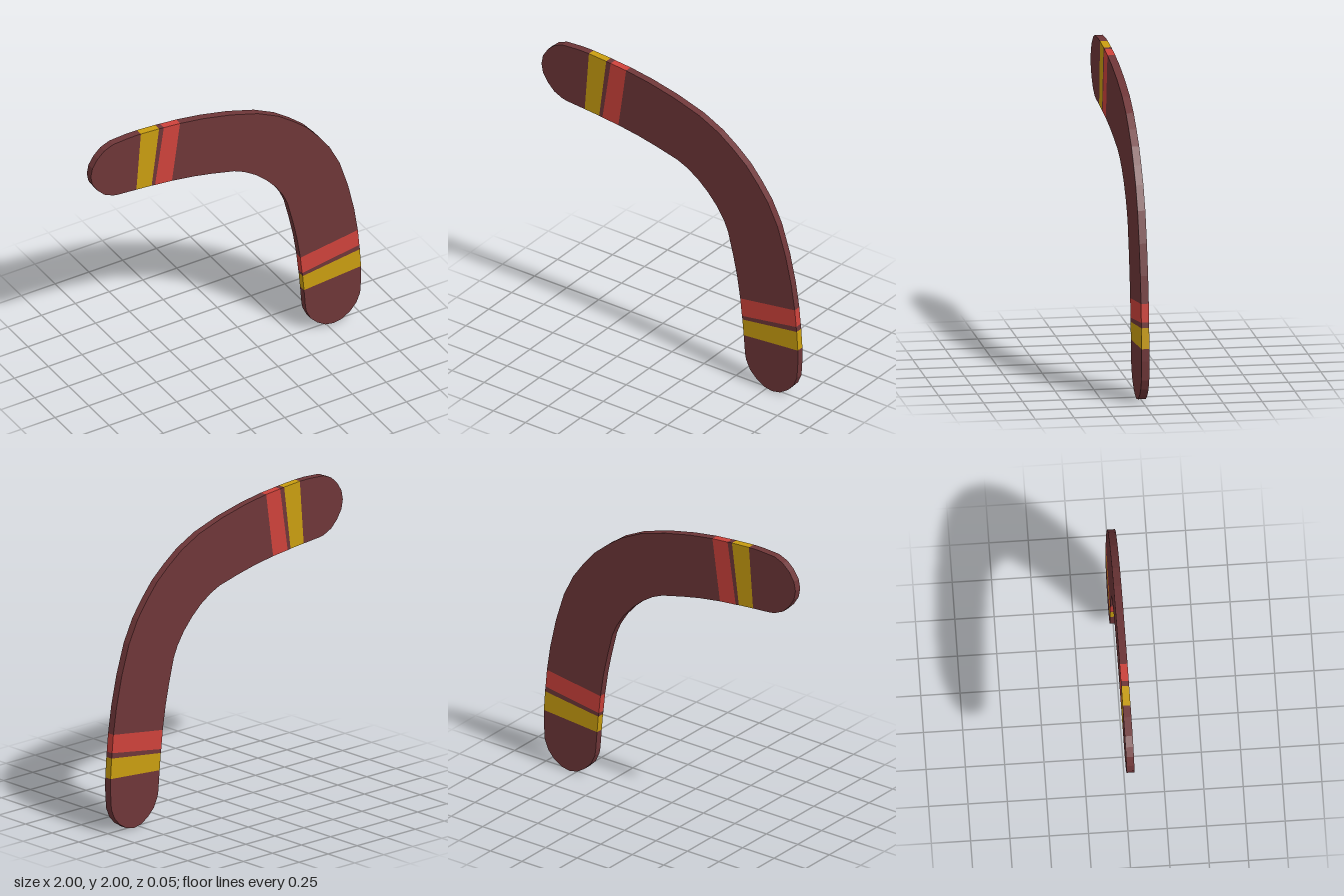
import * as THREE from 'three';

const THICKNESS = 0.05;

// Outline of one arm: tip, then matching outer and inner edges up to the elbow
const TIP = [
  [-0.663, 1.577], [-0.797, 1.588], [-0.835, 1.595], [-0.9, 1.625], [-0.95, 1.675], [-0.988, 1.735],
  [-1, 1.797], [-0.988, 1.86], [-0.95, 1.92], [-0.9, 1.965], [-0.835, 1.992], [-0.71, 2], [-0.63, 1.999],
];
const OUTER = [
  [-0.63, 1.999], [-0.495, 1.99], [-0.46, 1.986], [-0.34, 1.975], [-0.165, 1.948], [0.035, 1.903],
  [0.235, 1.84], [0.385, 1.765], [0.495, 1.685], [0.598, 1.598],
];
const INNER = [
  [-0.663, 1.577], [-0.55, 1.567], [-0.525, 1.563], [-0.4, 1.55], [-0.24, 1.525], [-0.1, 1.495],
  [0.06, 1.455], [0.135, 1.422], [0.22, 1.367], [0.298, 1.298],
];

// The second arm is the first reflected across the diagonal through the elbow
const reflect = ([x, y]) => [y - 1, x + 1];

export function createModel() {
  const wood = new THREE.MeshStandardMaterial({ name: 'brown wood', color: 0x6e3638 });
  const red = new THREE.MeshStandardMaterial({ name: 'red paint', color: 0xcd423b });
  const yellow = new THREE.MeshStandardMaterial({ name: 'yellow paint', color: 0xc99d10 });

  const model = new THREE.Group();
  model.name = 'boomerang';

  function addSlab(name, points, material) {
    const shape = new THREE.Shape(points.map(([x, y]) => new THREE.Vector2(x, y)));
    const geometry = new THREE.ExtrudeGeometry(shape, { depth: THICKNESS, bevelEnabled: false });
    geometry.translate(0, 0, -THICKNESS / 2);
    const mesh = new THREE.Mesh(geometry, material);
    mesh.name = name;
    model.add(mesh);
  }

  // Slice of the arm between two stations along its edges
  const slice = (from, to) => [
    ...OUTER.slice(from, to + 1),
    ...INNER.slice(from, to + 1).reverse(),
  ];

  const arms = [['upper', (p) => p], ['lower', reflect]];
  for (const [arm, place] of arms) {
    addSlab(`${arm}Tip`, TIP.map(place), wood);
    addSlab(`${arm}YellowBand`, slice(0, 1).map(place), yellow);
    addSlab(`${arm}BandGap`, slice(1, 2).map(place), wood);
    addSlab(`${arm}RedBand`, slice(2, 3).map(place), red);
  }

  // Curved elbow joining both red bands
  const last = OUTER.length - 1;
  const outer = OUTER.slice(3);
  const inner = INNER.slice(3);
  addSlab('elbow', [
    ...outer,
    ...OUTER.slice(3, last).reverse().map(reflect),
    ...inner.map(reflect),
    ...INNER.slice(3, last).reverse(),
  ], wood);

  return model;
}
